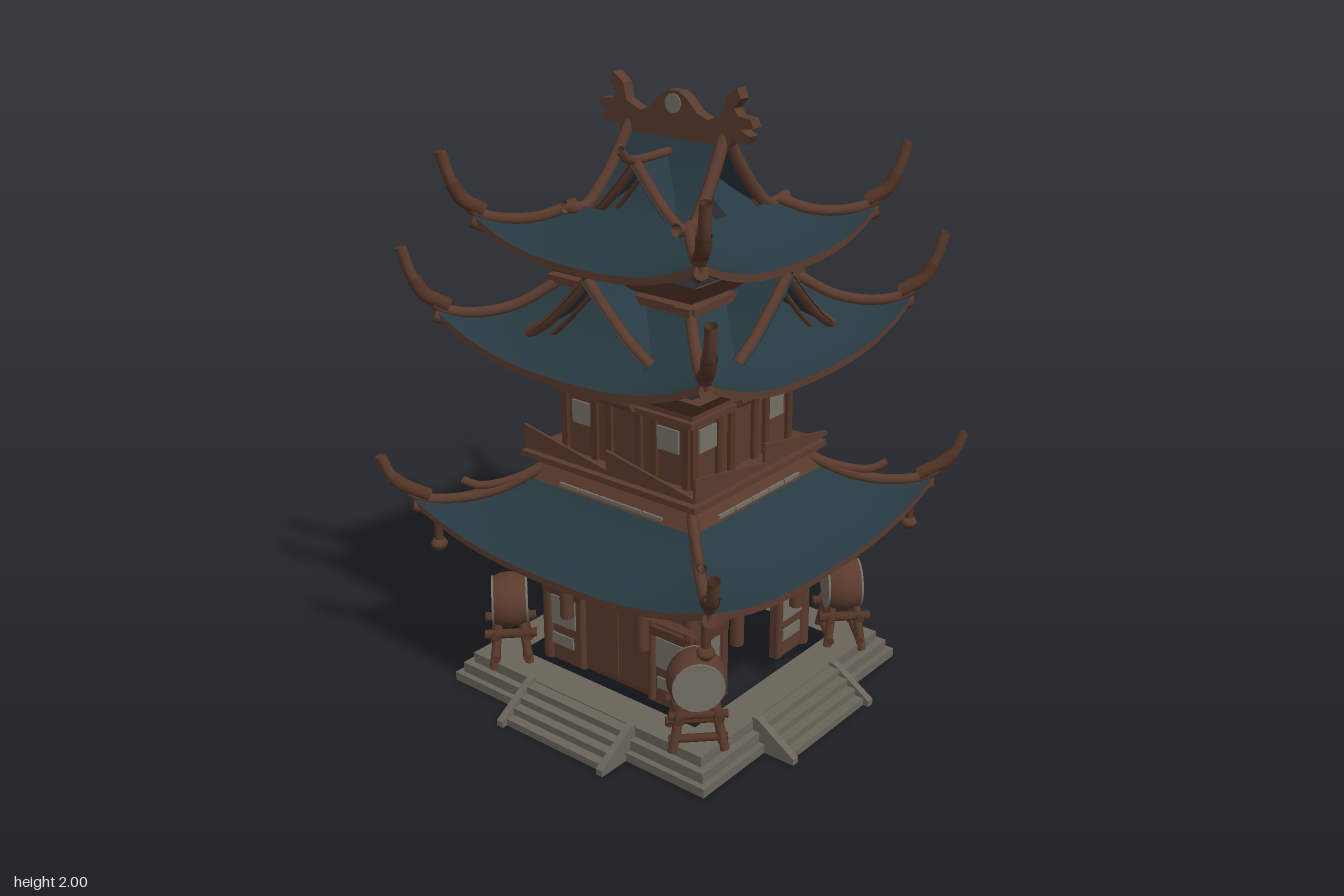
import * as THREE from 'three';

const mat = (name, color) => Object.assign(
  new THREE.MeshStandardMaterial({ color, side: THREE.DoubleSide }), { name });
const wood = mat('brown wood', 0x5a3b2d);
const darkWood = mat('dark brown wood', 0x523425);
const tile = mat('blue roof tile', 0x273941);
const stone = mat('grey stone', 0x69655a);
const plaster = mat('pale plaster', 0x737066);

const V = (x, y, z) => new THREE.Vector3(x, y, z);
const points2 = list => list.map(q => new THREE.Vector2(...q));

function add(parent, name, geo, material, x = 0, y = 0, z = 0) {
  const m = new THREE.Mesh(geo, material);
  m.name = name;
  m.position.set(x, y, z);
  parent.add(m);
  return m;
}
// Box given by its limits on each axis
const box = (p, name, m, x0, x1, y0, y1, z0, z1) =>
  add(p, name, new THREE.BoxGeometry(x1 - x0, y1 - y0, z1 - z0), m, (x0 + x1) / 2, (y0 + y1) / 2, (z0 + z1) / 2);
const tube = (p, name, m, pts, r, n = 12) =>
  add(p, name, new THREE.TubeGeometry(new THREE.CatmullRomCurve3(pts), n, r, 8, false), m);
const rod = (p, name, m, a, b, r) => {
  const d = b.clone().sub(a), c = a.clone().add(b).multiplyScalar(0.5);
  const o = add(p, name, new THREE.CylinderGeometry(r, r, d.length(), 8), m, c.x, c.y, c.z);
  o.quaternion.setFromUnitVectors(V(0, 1, 0), d.normalize());
  return o;
};
// Flat board cut to an outline, extruded along z
const board = (p, name, m, outline, depth, x = 0, y = 0, z = 0) =>
  add(p, name, new THREE.ExtrudeGeometry(new THREE.Shape(points2(outline)), { depth, bevelEnabled: false }), m, x, y, z);
// Grid surface from a rule f(s, t), with s and t in 0..1
function sheet(f, ns, nt) {
  const pos = [], idx = [];
  for (let j = 0; j <= nt; j++) for (let i = 0; i <= ns; i++) pos.push(...f(i / ns, j / nt));
  for (let j = 0; j < nt; j++) for (let i = 0; i < ns; i++) {
    const a = j * (ns + 1) + i, b = a + ns + 1;
    idx.push(a, b, a + 1, a + 1, b, b + 1);
  }
  const g = new THREE.BufferGeometry();
  g.setAttribute('position', new THREE.Float32BufferAttribute(pos, 3));
  g.setIndex(idx);
  g.computeVertexNormals();
  return g;
}
// Side k: 0 front, 1 left (+x), 2 back, 3 right
function side(parent, name, k) {
  const g = new THREE.Group();
  g.name = name;
  g.rotation.y = k * Math.PI / 2;
  parent.add(g);
  return g;
}
// Mitred strip from half-width h0 at y0 to half-width h1 at y1, limited to s0..s1 of its length
const flare = (p, name, m, h0, y0, h1, y1, s0 = 0, s1 = 1) => add(p, name, sheet((s, t) => {
  const h = h0 + (h1 - h0) * t;
  return [(2 * (s0 + (s1 - s0) * s) - 1) * h, y0 + (y1 - y0) * t, h];
}, 1, 1), m);
const CORNERS = [[1, 1], [-1, 1], [1, -1], [-1, -1]];

// Curved four-sided roof with eave boards and upswept corner ridges
function roof(parent, name, { a, b, yi, ye, yc, tip, corners }) {
  const g = new THREE.Group();
  g.name = name;
  parent.add(g);
  const at = (u, v) => {
    const h = a + (b - a) * v;
    const y = ye + (yi - ye) * (1 - v) ** 1.6 + (yc - ye) * Math.abs(u) ** 2.7 * v * v;
    return [u * h, y, h + 0.01 * v * (1 - u * u)];
  };
  for (let k = 0; k < 4; k++) {
    const s = side(g, 'roofSide', k);
    add(s, 'roofSlope', sheet((u, v) => at(2 * u - 1, v), 20, 8), tile);
    add(s, 'eaveBoard', sheet((u, t) => {
      const [x, y, z] = at(2 * u - 1, 0.99);
      return [x, y - 0.024 * t, z];
    }, 20, 1), wood);
  }
  for (const [sx, sz] of CORNERS.slice(0, corners)) {
    const pts = [0, 0.35, 0.7, 0.95].map(v => { const q = at(1, v); return V(sx * q[0], q[1] + 0.008, sz * q[0]); });
    const [tx, ty] = tip, mx = b + (tx - b) * 0.62, my = yc + (ty - yc) * 0.48;
    pts.push(V(sx * mx, my, sz * mx), V(sx * tx, ty, sz * tx));
    tube(g, 'cornerRidge', wood, pts, 0.018, 24);
    tube(g, 'ridgeEnd', darkWood, [V(sx * b * 0.93, yc, sz * b * 0.93),
      V(sx * (b + 0.015), yc + 0.04, sz * (b + 0.015)), V(sx * mx, my, sz * mx)], 0.023, 8);
    // bracket below the corner
    rod(g, 'cornerBracket', wood, V(sx * b * 0.87, yc - 0.06, sz * b * 0.87), V(sx * b * 0.99, yc - 0.03, sz * b * 0.99), 0.022);
  }
}

// Gabled dormer facing +z
function dormer(p, apex, foot, half, z0, z1) {
  const line = t => [half * t, foot + (apex - foot) * (1 - t) ** 1.25];
  for (const sx of [-1, 1]) {
    add(p, 'dormerSlope', sheet((s, t) => { const [x, y] = line(t); return [sx * x, y, z0 + (z1 - z0) * s]; }, 1, 8), tile);
    tube(p, 'dormerBargeboard', wood, [0, 0.33, 0.66, 1].map(t => V(sx * line(t)[0], line(t)[1], z1 - 0.025)), 0.018);
    tube(p, 'dormerInnerBoard', darkWood, [0, 0.5, 0.85].map(t => V(sx * line(t)[0], line(t)[1] - 0.045, z1 - 0.05)), 0.008);
  }
}

// Barrel drum on a splayed stand, facing outward
function drum(parent, sx, sz) {
  const g = new THREE.Group();
  g.name = 'drum';
  g.position.set(sx * 0.395, 0, sz * 0.395);
  g.rotation.y = Math.atan2(sx, sz);
  parent.add(g);
  const prof = points2([[0.08, -0.055], [0.09, -0.03], [0.094, 0], [0.09, 0.03], [0.08, 0.055]]);
  add(g, 'drumBarrel', new THREE.LatheGeometry(prof, 20), wood, 0, 0.295, 0).rotation.x = Math.PI / 2;
  for (const z of [-0.055, 0.055])
    add(g, 'drumSkin', new THREE.CylinderGeometry(0.081, 0.081, 0.008, 20), plaster, 0, 0.295, z).rotation.x = Math.PI / 2;
  for (const x of [-1, 1]) {
    for (const z of [-1, 1]) rod(g, 'standLeg', wood, V(x * 0.08, 0.08, z * 0.06), V(x * 0.05, 0.23, z * 0.04), 0.015);
    rod(g, 'standRail', darkWood, V(x * 0.06, 0.2, -0.085), V(x * 0.06, 0.2, 0.085), 0.016);
  }
  for (const z of [-0.05, 0.05]) for (const y of [0.12, 0.2])
    rod(g, 'standCrossbar', darkWood, V(-0.09, y, z), V(0.09, y, z), 0.013);
}

export function createModel() {
  const root = new THREE.Group();
  root.name = 'pagoda';

  // Stepped stone base shell, open at the back right corner
  const steps = [[0.53, 0], [0.53, 0.03], [0.51, 0.03], [0.51, 0.065], [0.485, 0.065], [0.485, 0.1], [0.37, 0.1]];
  [[0, 1], [0, 1], [0, 0.6], [0.4, 1]].forEach(([s0, s1], k) => {
    const s = side(root, 'baseSide', k);
    for (let i = 1; i < steps.length; i++) flare(s, 'baseStep', stone, ...steps[i], ...steps[i - 1], s0, s1);
  });

  for (const k of [0, 1]) {
    // Stairs
    const s = side(root, 'finishedSide', k);
    for (let i = 0; i < 4; i++) box(s, 'step', stone, -0.2, 0.2, 0.024 * i, 0.024 * (i + 1), 0.48, 0.62 - i * 0.032);
    for (const x of [-0.225, 0.2])
      board(s, 'stairStringer', stone, [[-0.48, 0], [-0.64, 0], [-0.64, 0.02], [-0.5, 0.11], [-0.48, 0.11]], 0.025, x)
        .rotation.y = Math.PI / 2;
    // Ground floor wall, doorway and plaster panels
    for (const sx of [-1, 1]) {
      const w = side(s, 'wallHalf', 0);
      w.position.x = sx * 0.228;
      box(w, 'wall', wood, -0.085, 0.085, 0.08, 0.44, 0.28, 0.31);
      box(w, 'upperPanel', plaster, -0.06, 0.05, 0.215, 0.32, 0.31, 0.316);
      box(w, 'lowerPanel', plaster, -0.055, 0.04, 0.14, 0.18, 0.31, 0.316);
      box(w, 'wallRail', darkWood, -0.085, 0.085, 0.33, 0.36, 0.31, 0.325);
      rod(s, 'hangingPost', wood, V(sx * 0.16, 0.3, 0.37), V(sx * 0.16, 0.45, 0.37), 0.022);
      rod(s, 'doorPost', wood, V(sx * 0.15, 0.09, 0.31), V(sx * 0.15, 0.42, 0.31), 0.014);
    }
    const arch = new THREE.Shape();
    arch.moveTo(-0.15, 0.36);
    arch.quadraticCurveTo(0, 0.405, 0.15, 0.36);
    arch.lineTo(0.15, 0.44);
    arch.lineTo(-0.15, 0.44);
    add(s, 'doorArch', new THREE.ExtrudeGeometry(arch, { depth: 0.04, bevelEnabled: false }), wood, 0, 0, 0.28);
    if (k === 0) {
      box(s, 'door', darkWood, -0.15, 0.15, 0.08, 0.41, 0.28, 0.295);
      for (const x of [-0.071, 0.071]) box(s, 'doorLeaf', wood, x - 0.069, x + 0.069, 0.1, 0.38, 0.295, 0.303);
    }
    flare(s, 'lintelBoard', wood, 0.31, 0.395, 0.41, 0.44);
    flare(s, 'lowerSoffit', wood, 0.34, 0.455, 0.45, 0.605);

    // Balcony skirt and broken railing boards
    flare(s, 'balconySkirt', wood, 0.34, 0.73, 0.29, 0.81);
    for (let i = 0; i < 5; i++) box(s, 'scallop', plaster, -0.21 + i * 0.085, -0.13 + i * 0.085, 0.735, 0.75, 0.327, 0.335);
    for (const x of [-0.345, 0])
      board(s, 'railingBoard', wood, [[x, 0.84], [x + 0.345, 0.84], [x + 0.345, 0.855], [x, 0.92]], 0.01, 0, 0, 0.338);

    // Middle floor wall, windows and stepped cornice
    box(s, 'middleWall', wood, -0.26, 0.26, 0.83, 1.1, 0.23, 0.255);
    for (const sx of [-1, 1]) {
      box(s, 'middleWindow', plaster, sx * 0.17 - 0.045, sx * 0.17 + 0.045, 0.935, 1.01, 0.255, 0.262);
      for (const x of [0.06, 0.12, 0.245]) box(s, 'middlePost', darkWood, sx * x - 0.012, sx * x + 0.012, 0.83, 1.05, 0.255, 0.268);
    }
    box(s, 'cornice', wood, -0.28, 0.28, 1.035, 1.055, 0.24, 0.28);
    box(s, 'corniceCap', wood, -0.3, 0.3, 1.075, 1.1, 0.24, 0.3);
    rod(s, 'corniceBoss', wood, V(-0.06, 1.065, 0.28), V(0.06, 1.065, 0.28), 0.025);
    flare(s, 'middleSoffit', wood, 0.3, 1.09, 0.42, 1.19);

    // Top floor wall and soffit
    box(s, 'upperWall', wood, -0.24, 0.24, 1.3, 1.44, 0.22, 0.24);
    box(s, 'upperCornice', wood, -0.29, 0.29, 1.385, 1.41, 0.22, 0.28);
    flare(s, 'upperSoffit', wood, 0.27, 1.42, 0.37, 1.51);
    dormer(s, 1.475, 1.265, 0.24, 0.24, 0.44);
  }
  box(root, 'balconyFloor', wood, -0.355, 0.355, 0.81, 0.83, -0.33, 0.355);

  // Corner furniture
  const bell = points2([[0, 0.485], [0.012, 0.49], [0.026, 0.505], [0.028, 0.515], [0.018, 0.53], [0, 0.53]]);
  for (const [sx, sz] of CORNERS.slice(0, 3)) {
    drum(root, sx, sz);
    rod(root, 'cornerPost', wood, V(sx * 0.3, 0.08, sz * 0.3), V(sx * 0.3, 0.44, sz * 0.3), 0.025);
    tube(root, 'balconyRidge', wood, [[0.28, 0.805], [0.34, 0.75], [0.42, 0.715], [0.46, 0.715], [0.49, 0.735]]
      .map(([d, y]) => V(sx * d, y, sz * d)), 0.014);
    add(root, 'hangingLantern', new THREE.LatheGeometry(bell, 12), wood, sx * 0.55, 0, sz * 0.55);
    rod(root, 'lanternCord', darkWood, V(sx * 0.55, 0.525, sz * 0.55), V(sx * 0.55, 0.65, sz * 0.55), 0.014);
  }

  // Three roofs
  roof(root, 'lowerRoof', { a: 0.3, b: 0.608, yi: 0.765, ye: 0.59, yc: 0.685, tip: [0.67, 0.83], corners: 3 });
  roof(root, 'middleRoof', { a: 0.26, b: 0.535, yi: 1.38, ye: 1.205, yc: 1.32, tip: [0.595, 1.51], corners: 3 });
  roof(root, 'upperRoof', { a: 0.215, b: 0.445, yi: 1.625, ye: 1.52, yc: 1.615, tip: [0.5, 1.8], corners: 4 });

  // Gabled crown roof with dormers
  for (const sz of [-1, 1]) {
    const slope = t => [sz * 0.21 * t, 1.61 + 0.25 * (1 - t) ** 1.5];
    add(root, 'crownSlope', sheet((s, t) => {
      const [z, y] = slope(t);
      return [(2 * s - 1) * (0.17 + 0.045 * t), y, z];
    }, 4, 8), tile);
    for (const sx of [-1, 1]) {
      if (sx + sz === -2) continue;
      const pts = [0, 0.3, 0.6, 0.9].map(t => V(sx * (0.18 + 0.03 * t), slope(t)[1], slope(t)[0]));
      pts.push(V(sx * 0.215, 1.63, sz * 0.27));
      tube(root, 'crownBargeboard', wood, pts, 0.02, 16);
    }
    const d = side(root, 'crownDormer', sz > 0 ? 0 : 2);
    dormer(d, 1.78, 1.6, 0.18, 0.03, 0.22);
    tube(d, 'dormerRidge', wood, [V(0, 1.79, 0.04), V(0, 1.79, 0.2), V(0, 1.8, 0.235), V(0, 1.83, 0.262)], 0.014);
  }

  // Ridge beam with horned ends and a round boss
  const half = [[0.2, 1.82], [0.22, 1.85], [0.27, 1.84], [0.285, 1.865], [0.25, 1.88], [0.295, 1.89], [0.285, 1.915], [0.24, 1.92],
    [0.225, 1.94], [0.25, 1.97], [0.235, 2], [0.195, 1.97], [0.185, 1.92], [0.13, 1.895], [0.09, 1.91], [0.05, 1.95], [0.02, 1.968]];
  board(root, 'ridgeBeam', wood, [...half, ...half.map(([x, y]) => [-x, y]).reverse()], 0.04, 0, 0, -0.02);
  add(root, 'ridgeBoss', new THREE.CylinderGeometry(0.03, 0.03, 0.048, 12), plaster, 0, 1.93, 0).rotation.x = Math.PI / 2;
  return root;
}
